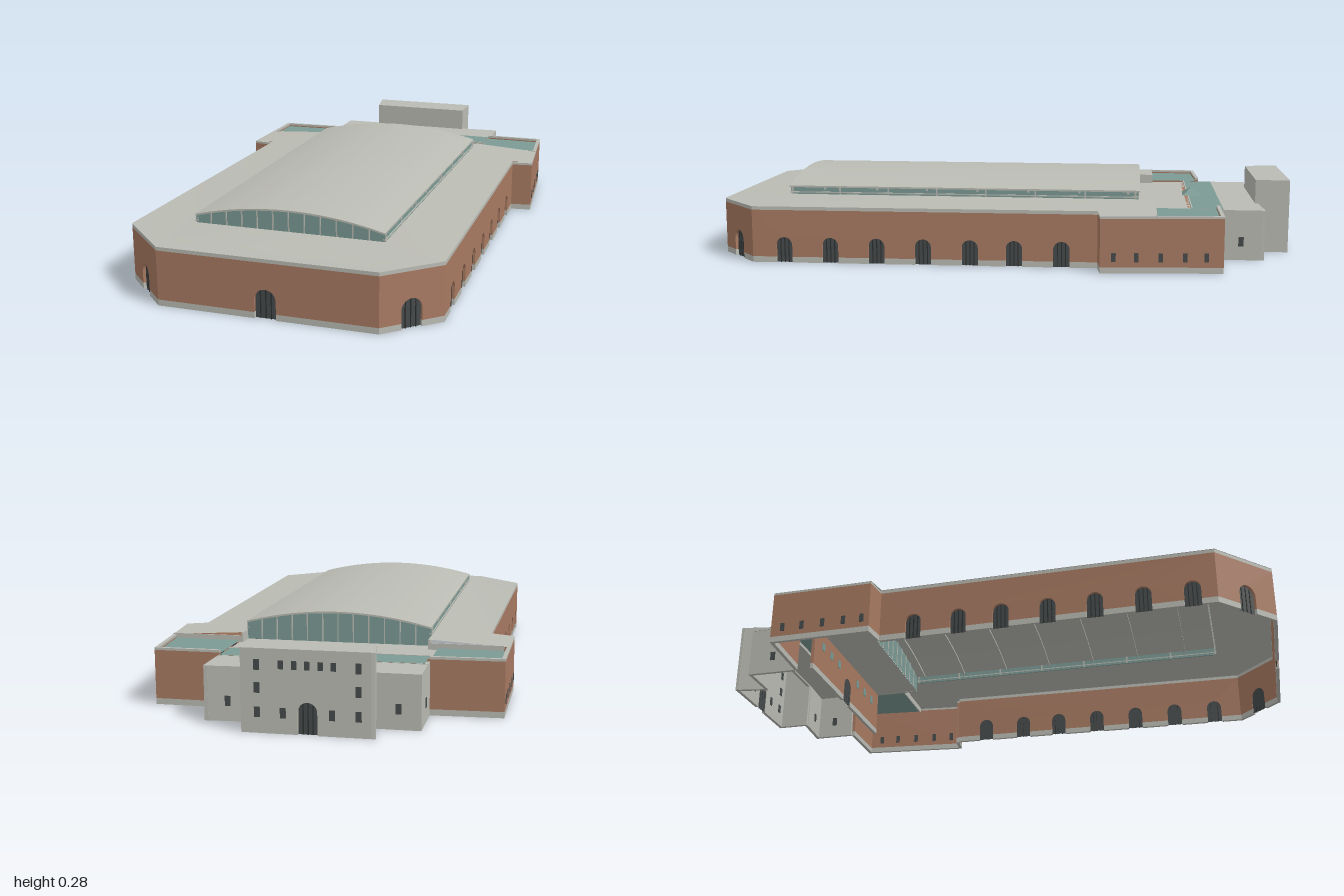
import * as THREE from 'three';

const paint = (name, color) =>
  new THREE.MeshStandardMaterial({ name, color, side: THREE.DoubleSide });
const brick = paint('brick', 0xa87a62);
const stone = paint('pale stone', 0xbabbb3);
const glass = paint('green glass', 0x7b9a94);
const dark = paint('dark door', 0x464a4a);
const frame = paint('black frame', 0x2c2f2f);

const DEPTH = 0.012; // wall thickness

function add(parent, name, geometry, material, x = 0, y = 0, z = 0) {
  const mesh = new THREE.Mesh(geometry, material);
  mesh.name = name;
  mesh.position.set(x, y, z);
  parent.add(mesh);
  return mesh;
}
const box = (parent, name, material, w, h, d, x, y, z) =>
  add(parent, name, new THREE.BoxGeometry(w, h, d), material, x, y, z);

// Horizontal sheet from [x, z] points
function sheet(parent, name, material, points, y) {
  const shape = new THREE.Shape(points.map(([x, z]) => new THREE.Vector2(x, -z)));
  return add(parent, name, new THREE.ShapeGeometry(shape).rotateX(-Math.PI / 2), material, 0, y, 0);
}
const rect = (x0, x1, z0, z1) => [[x0, z1], [x1, z1], [x1, z0], [x0, z0]];

// Trace one arched opening from its left foot to its right foot
function traceArch(path, { t, w, h }, foot) {
  const r = w / 2;
  path.lineTo(t - r, foot);
  path.lineTo(t - r, h - r);
  path.absarc(t, h - r, r, Math.PI, 0, true);
  path.lineTo(t + r, foot);
}

function extrudeWall(parent, name, material, shape) {
  const geo = new THREE.ExtrudeGeometry(shape, { depth: DEPTH, bevelEnabled: false, curveSegments: 10 });
  add(parent, name, geo, material, 0, 0, -DEPTH);
}

// Wall from a to b ([x, z]), outer face to the right-hand side of travel
function wall(parent, name, a, b, opts = {}) {
  const { main = brick, plinth = 0.02, top = 0.182, cap = 0.194, base = 0, arches = [], windows = [] } = opts;
  const dx = b[0] - a[0], dz = b[1] - a[1], len = Math.hypot(dx, dz);
  const g = new THREE.Group();
  g.name = name;
  g.position.set(a[0], 0, a[1]);
  g.rotation.y = Math.atan2(-dz, dx);
  parent.add(g);

  // wall face with arch notches
  const y0 = base + plinth;
  const face = new THREE.Shape();
  face.moveTo(0, y0);
  arches.forEach((arch) => traceArch(face, arch, y0));
  face.lineTo(len, y0);
  face.lineTo(len, top);
  face.lineTo(0, top);
  face.closePath();
  extrudeWall(g, 'wallFace', main, face);

  // plinth pieces between the doors
  if (plinth > 0) {
    const cuts = [0, ...arches.flatMap(({ t, w }) => [t - w / 2, t + w / 2]), len];
    for (let i = 0; i < cuts.length; i += 2) {
      const w = cuts[i + 1] - cuts[i];
      box(g, 'plinth', stone, w, plinth, DEPTH, cuts[i] + w / 2, base + plinth / 2, -DEPTH / 2);
    }
  }
  // coping
  if (cap > top) box(g, 'coping', stone, len, cap - top, DEPTH, len / 2, (top + cap) / 2, -DEPTH / 2);

  // recessed arched doors with bars
  arches.forEach((arch) => {
    const shape = new THREE.Shape();
    shape.moveTo(arch.t - arch.w / 2, 0);
    traceArch(shape, arch, 0);
    shape.closePath();
    add(g, 'archedDoor', new THREE.ShapeGeometry(shape, 10), dark, 0, 0, -0.01);
    for (const k of [-0.25, 0, 0.25]) {
      const h = arch.h - arch.w * (k ? 0.1 : 0.02);
      box(g, 'doorBar', frame, 0.003, h, 0.003, arch.t + k * arch.w, h / 2, -0.0085);
    }
  });
  windows.forEach(({ t, y, w = 0.015, h = 0.03, mat = dark }) =>
    box(g, 'smallWindow', mat, w, h, DEPTH + 0.004, t, y, -DEPTH / 2));
  return g;
}

// Vault profile
const HALF = 0.32;
const vaultY = (x) => 0.236 + 0.042 * (1 - (x / HALF) ** 2);
const vaultLine = (drop) =>
  Array.from({ length: 25 }, (_, i) => {
    const x = -HALF + (2 * HALF * i) / 24;
    return new THREE.Vector2(x, vaultY(x) - drop);
  });
function vaultSlab(parent, name, material, from, to, z0, z1) {
  const shape = new THREE.Shape([...vaultLine(to), ...vaultLine(from).reverse()]);
  const geo = new THREE.ExtrudeGeometry(shape, { depth: z1 - z0, bevelEnabled: false });
  add(parent, name, geo, material, 0, 0, z0);
}

function buildHall(root) {
  const hall = new THREE.Group();
  hall.name = 'hall';
  root.add(hall);
  const sideZ = [0.74, 0.58, 0.42, 0.26, 0.1, -0.05, -0.21];
  const bays = (dist) => sideZ.map((z) => ({ t: dist(z), w: 0.056, h: 0.088 })).sort((p, q) => p.t - q.t);
  const door = (t) => [{ t, w: 0.07, h: 0.096 }];
  wall(hall, 'frontWall', [-0.35, 1], [0.37, 1], { arches: door(0.36) });
  wall(hall, 'leftCornerWall', [0.37, 1], [0.53, 0.85], { arches: door(0.108) });
  wall(hall, 'leftSideWall', [0.53, 0.85], [0.51, -0.33], { arches: bays((z) => 0.85 - z) });
  wall(hall, 'rightSideWall', [-0.51, -0.33], [-0.53, 0.82], { arches: bays((z) => z + 0.33) });
  wall(hall, 'rightCornerWall', [-0.53, 0.82], [-0.35, 1], { arches: door(0.13) });

  // gently sloping roof around the vault
  const roof = sheet(hall, 'lowRoof', stone, [
    [-0.35, 1], [0.37, 1], [0.53, 0.85], [0.51, -0.33], [0.585, -0.34], [0.567, -0.525], [HALF, -0.525],
    [HALF, 0.775], [-HALF, 0.775], [-HALF, -0.525], [-0.585, -0.525], [-0.59, -0.34], [-0.51, -0.33], [-0.53, 0.82],
  ], 0);
  const p = roof.geometry.attributes.position;
  for (let i = 0; i < p.count; i++) {
    const x = Math.abs(p.getX(i));
    p.setY(i, x < 0.33 ? 0.206 : x > 0.54 ? 0.191 : 0.1955);
  }
  roof.geometry.computeVertexNormals();

  // vault with ribs below
  vaultSlab(hall, 'vaultRoof', stone, 0, 0.006, -0.47, 0.78);
  for (const z of [0.65, 0.46, 0.28, 0.1, -0.08, -0.26, -0.43])
    vaultSlab(hall, 'vaultRib', stone, 0.006, 0.013, z - 0.004, z + 0.004);

  // glazed gables
  for (const [z, low] of [[0.772, 0.204], [-0.464, 0.172]]) {
    const gable = new THREE.Shape([
      ...vaultLine(0.004), new THREE.Vector2(HALF, low), new THREE.Vector2(-HALF, low)]);
    add(hall, 'gableGlass', new THREE.ShapeGeometry(gable), glass, 0, 0, z);
    for (let i = -5; i <= 5; i++) {
      const x = i * 0.0535, h = vaultY(x) - 0.004 - low;
      box(hall, 'gableMullion', stone, 0.004, h, 0.005, x, low + h / 2, z);
    }
  }
  // glazed strips along the vault
  for (const s of [-1, 1]) {
    box(hall, 'sideGlazing', glass, 0.004, 0.028, 1.24, s * (HALF - 0.003), 0.217, 0.155);
    box(hall, 'sideRail', stone, 0.008, 0.004, 1.245, s * (HALF - 0.002), 0.213, 0.155);
    for (let i = 0; i <= 7; i++)
      box(hall, 'sideMullion', stone, 0.007, 0.03, 0.006, s * (HALF - 0.002), 0.219, 0.77 - i * 0.175);
  }
}

function buildWings(root) {
  const wings = new THREE.Group();
  wings.name = 'rearWings';
  root.add(wings);
  const low = { cap: 0.19 };
  const row = [0.045, 0.12, 0.2, 0.28, 0.35].map((t) => ({ t, y: 0.053 }));
  wall(wings, 'leftWingFront', [0.51, -0.33], [0.585, -0.34], low);
  wall(wings, 'leftWingSide', [0.585, -0.34], [0.55, -0.745], { ...low, windows: row });
  wall(wings, 'leftWingBack', [0.55, -0.745], [0.33, -0.745], low);
  wall(wings, 'rightWingBack', [-0.35, -0.71], [-0.585, -0.7], low);
  wall(wings, 'rightWingSide', [-0.585, -0.7], [-0.59, -0.34], { ...low, windows: row.map((r) => ({ ...r, t: r.t * 0.95 })) });
  wall(wings, 'rightWingFront', [-0.59, -0.34], [-0.51, -0.33], low);

  // sunken green roofs and the step above them
  sheet(wings, 'leftWingRoof', glass, [[0.33, -0.525], [0.566, -0.525], [0.548, -0.74], [0.33, -0.74]], 0.178);
  sheet(wings, 'rightWingRoof', glass, [[-0.585, -0.525], [-0.35, -0.525], [-0.35, -0.706], [-0.58, -0.697]], 0.178);
  for (const s of [-1, 1]) {
    box(wings, 'roofStep', stone, 0.245, 0.022, 0.004, s * 0.445, 0.183, -0.523);
    box(wings, 'pitSide', stone, 0.006, 0.034, 0.06, s * 0.321, 0.188, -0.496);
  }

  // sunken middle roof, green strip and skylight
  sheet(wings, 'middleRoof', stone, rect(-0.35, 0.33, -0.65, -0.465), 0.172);
  sheet(wings, 'greenStrip', glass, rect(-0.34, 0.325, -0.757, -0.65), 0.178);
  box(wings, 'stripEdge', stone, 0.67, 0.01, 0.004, -0.008, 0.175, -0.65);
  const skylight = new THREE.ConeGeometry(Math.SQRT1_2, 1, 4, 1, true).toNonIndexed();
  skylight.rotateY(Math.PI / 4).scale(0.1, 0.026, 0.062).computeVertexNormals();
  add(wings, 'skylight', skylight, glass, -0.008, 0.191, -0.662);

  // inner wall under the green strip
  wall(wings, 'innerWall', [0.33, -0.65], [-0.35, -0.65], {
    top: 0.172, cap: 0,
    arches: [{ t: 0.34, w: 0.07, h: 0.1 }],
    windows: [0.08, 0.16, 0.24, 0.44, 0.52, 0.6].map((t) => ({ t, y: 0.12, w: 0.025, mat: glass })),
  });
}

function buildRear(root) {
  const rear = new THREE.Group();
  rear.name = 'rearBlock';
  root.add(rear);
  const plain = { main: stone, plinth: 0, top: 0.175, cap: 0 };
  const pane = (t, y = 0.065) => ({ t, y, w: 0.018, h: 0.032 });
  wall(rear, 'blockLeft', [0.33, -0.745], [0.33, -0.9], { ...plain, windows: [pane(0.075)] });
  wall(rear, 'blockBackLeft', [0.33, -0.9], [0.18, -0.89], { ...plain, windows: [pane(0.075)] });
  wall(rear, 'blockBackRight', [-0.21, -0.89], [-0.35, -0.89], { ...plain, windows: [pane(0.07)] });
  wall(rear, 'blockRight', [-0.35, -0.89], [-0.35, -0.71], { ...plain, windows: [pane(0.09)] });
  sheet(rear, 'blockRoof', stone,
    [[-0.35, -0.757], [0.33, -0.757], [0.33, -0.9], [0.18, -0.89], [-0.35, -0.89]], 0.176);
  box(rear, 'blockRoofEdge', stone, 0.68, 0.012, 0.004, -0.01, 0.171, -0.757);

  // tall entrance house
  const tall = { ...plain, top: 0.26 };
  const upper = [0.125, 0.165, 0.205, 0.245, 0.285].map((t) => ({ t, y: 0.212, w: 0.016, h: 0.026 }));
  const outer = [0.05, 0.36].flatMap((t) => [pane(t, 0.21), pane(t, 0.14), pane(t, 0.065)]);
  wall(rear, 'entranceFront', [-0.21, -0.88], [0.18, -0.88], { ...tall, base: 0.17 });
  wall(rear, 'entranceLeft', [0.18, -0.88], [0.18, -1], tall);
  wall(rear, 'entranceBack', [0.18, -1], [-0.23, -1], {
    ...tall,
    arches: [{ t: 0.205, w: 0.06, h: 0.1 }],
    windows: [...upper, ...outer, pane(0.13), pane(0.28)],
  });
  wall(rear, 'entranceRight', [-0.23, -1], [-0.21, -0.88], tall);
  sheet(rear, 'entranceRoof', stone, [[-0.21, -0.88], [0.18, -0.88], [0.18, -1], [-0.23, -1]], 0.2605);
}

export function createModel() {
  const root = new THREE.Group();
  root.name = 'marketHall';
  buildHall(root);
  buildWings(root);
  buildRear(root);
  return root;
}
